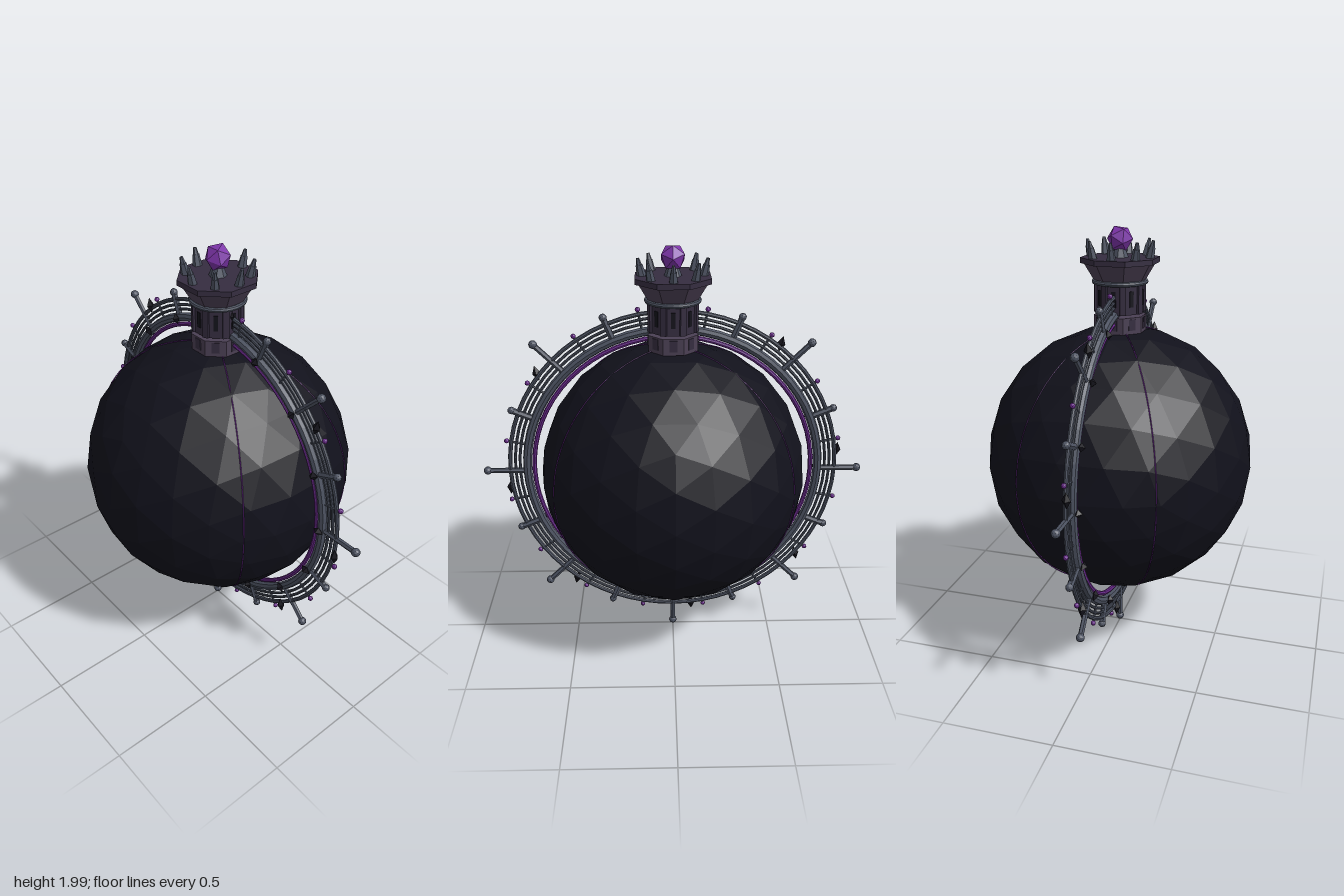
import * as THREE from 'three';

const CY = 0.917; // height of the orb and ring centre
const mat = (color) => new THREE.MeshStandardMaterial({ color, flatShading: true });

export function createModel() {
  const steel = mat(0x4c5261), dark = mat(0x14131b), orbMat = mat(0x11111b);
  const purple = mat(0x6a2a8c), gemMat = mat(0x7c34a8);
  const stone = mat(0x352d40), paleStone = mat(0x4b4054);

  const model = new THREE.Group();
  const add = (parent, name, geo, material, x = 0, y = 0, z = 0) => {
    const m = new THREE.Mesh(geo, material);
    m.name = name;
    m.position.set(x, y, z);
    parent.add(m);
    return m;
  };
  const group = (parent, name, y = 0) => {
    const g = new THREE.Group();
    g.name = name;
    g.position.y = y;
    parent.add(g);
    return g;
  };
  // octagonal drum with a flat side facing the front
  const drum = (rTop, rBottom, y0, y1) =>
    new THREE.CylinderGeometry(rTop, rBottom, y1 - y0, 8).rotateY(Math.PI / 8).translate(0, (y0 + y1) / 2, 0);

  // Faceted orb with four meridian seams
  const orb = group(model, 'orb', CY);
  add(orb, 'orbBody', new THREE.IcosahedronGeometry(0.63, 3), orbMat);
  for (const s of [-1, 1]) {
    const seam = add(orb, 'orbSeam', new THREE.TorusGeometry(0.626, 0.0025, 4, 96), purple);
    seam.rotation.y = s * Math.PI / 6;
  }

  // Concentric rings around the orb
  const halo = group(model, 'halo', CY);
  const rings = [
    ['innerGlowRing', 0.668, 0.011, purple],
    ['mainRing', 0.702, 0.021, steel],
    ['innerRail', 0.738, 0.007, steel],
    ['middleRail', 0.76, 0.007, steel],
    ['outerRail', 0.785, 0.01, steel],
  ];
  for (const [name, r, t, m] of rings) add(halo, name, new THREE.TorusGeometry(r, t, 8, 64), m);

  // Spokes, alternately long with a knob and short with a cap
  const rod = (r, a, b) => new THREE.CylinderGeometry(r, r, b - a, 6).rotateZ(-Math.PI / 2).translate((a + b) / 2, 0, 0);
  for (let i = 0; i < 16; i++) {
    const spoke = group(halo, 'spoke');
    spoke.rotation.z = i * Math.PI / 8;
    if (i % 2 === 0) {
      add(spoke, 'longRod', rod(0.013, 0.69, 0.89), steel);
      add(spoke, 'rodKnob', new THREE.IcosahedronGeometry(0.02, 1), steel, 0.895);
    } else {
      add(spoke, 'shortRod', rod(0.015, 0.69, 0.82), steel);
      add(spoke, 'rodCap', new THREE.IcosahedronGeometry(0.018, 1), steel, 0.818);
    }
    const stud = add(spoke, 'darkStud', new THREE.OctahedronGeometry(0.02), dark, 0.7, 0, 0.024);
    stud.scale.x = 1.3;
  }

  // Thin ties with purple beads between the spokes
  for (let i = 0; i < 16; i++) {
    const tie = group(halo, 'tie');
    tie.rotation.z = (i + 0.5) * Math.PI / 8;
    add(tie, 'tieRod', rod(0.006, 0.71, 0.8), steel);
    add(tie, 'bead', new THREE.IcosahedronGeometry(0.012, 1), purple, 0.807);
  }

  // Dark crystals standing upright along the outer rail
  for (let i = 0; i < 8; i++) {
    const a = THREE.MathUtils.degToRad(38.2 + 45 * i);
    const c = add(halo, 'darkCrystal', new THREE.OctahedronGeometry(0.02), dark,
      0.797 * Math.cos(a), 0.797 * Math.sin(a), 0.008);
    c.scale.y = 1.9;
    c.rotation.z = -0.25 * Math.sin(2 * a);
  }

  // Tower on top of the orb
  const tower = group(model, 'tower');
  add(tower, 'towerFoot', drum(0.12, 0.12, 1.53, 1.604), paleStone);
  add(tower, 'towerShaft', drum(0.112, 0.112, 1.615, 1.75), stone);
  add(tower, 'collar', new THREE.TorusGeometry(0.117, 0.011, 8, 32).rotateX(Math.PI / 2), steel, 0, 1.753, 0);
  add(tower, 'flare', drum(0.165, 0.115, 1.755, 1.838), paleStone);
  add(tower, 'platform', drum(0.18, 0.18, 1.836, 1.86), stone);
  for (let i = 0; i < 8; i++) {
    const side = group(tower, 'towerSide');
    side.rotation.y = i * Math.PI / 4;
    add(side, 'footNiche', new THREE.BoxGeometry(0.034, 0.05, 0.008), stone, 0, 1.572, 0.11);
    add(side, 'slitWindow', new THREE.BoxGeometry(0.02, 0.07, 0.006), dark, 0, 1.685, 0.104);
    const corner = group(side, 'corner');
    corner.rotation.y = Math.PI / 8;
    add(corner, 'cornerPillar', new THREE.BoxGeometry(0.028, 0.13, 0.018), stone, 0, 1.682, 0.108);

    // Battlement prong leaning outward
    const prong = group(side, 'prong', 1.858);
    prong.position.z = 0.136;
    prong.rotation.x = 0.22;
    add(prong, 'prongBase', new THREE.CylinderGeometry(0.015, 0.021, 0.05, 6), steel, 0, 0.025, 0);
    add(prong, 'prongTip', new THREE.CylinderGeometry(0.007, 0.013, 0.03, 6), steel, 0, 0.064, 0);
  }

  // Crowning gem
  add(tower, 'gemSeat', new THREE.CylinderGeometry(0.025, 0.04, 0.04, 8), steel, 0, 1.878, 0);
  add(tower, 'gem', new THREE.IcosahedronGeometry(0.06, 0).rotateX(0.5536), gemMat, 0, 1.94, 0);

  return model;
}
